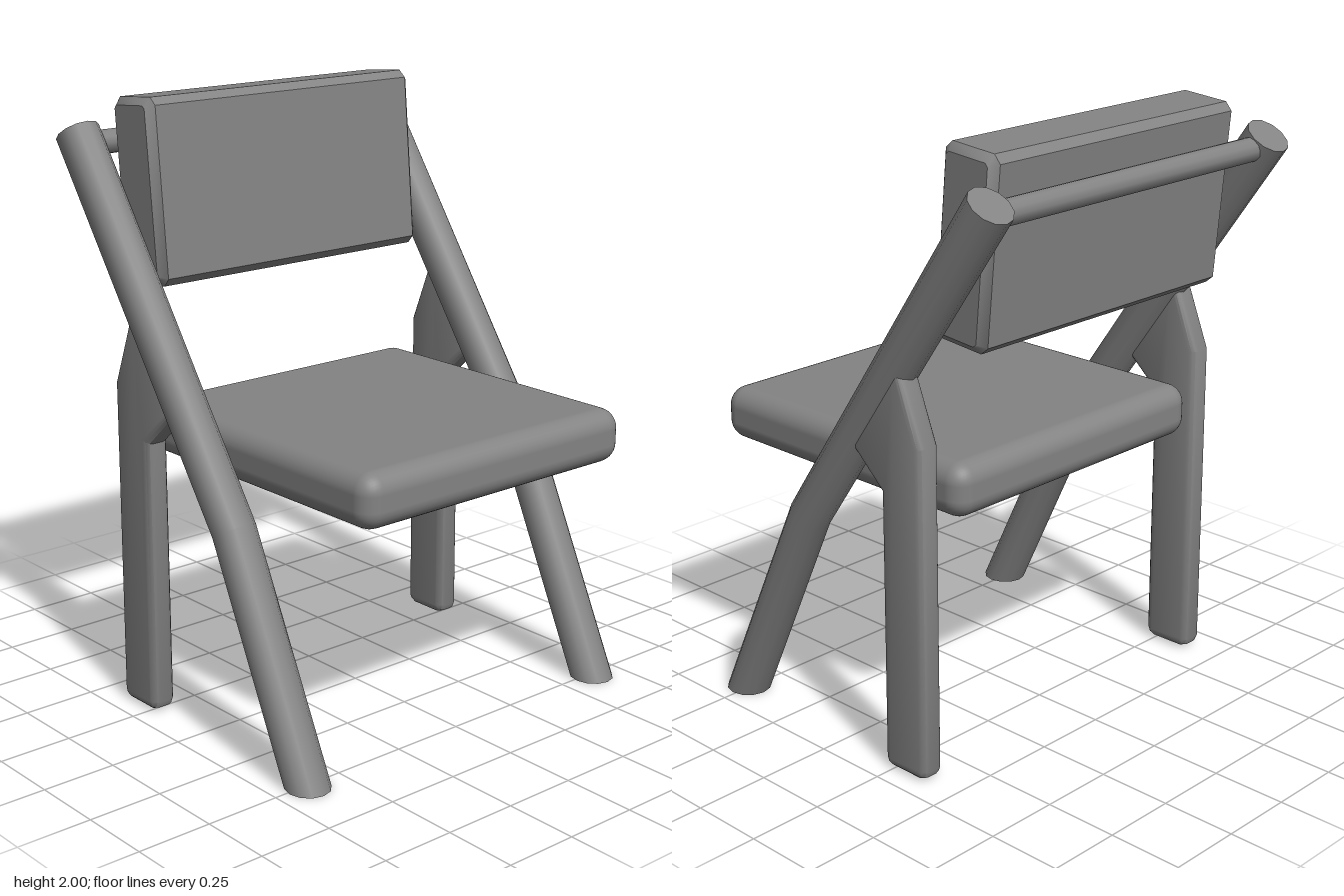
import * as THREE from 'three';
import { toCreasedNormals } from 'three/addons/utils/BufferGeometryUtils.js';
import { RoundedBoxGeometry } from 'three/addons/geometries/RoundedBoxGeometry.js';

const material = new THREE.MeshStandardMaterial({ color: 0x838383 });

function part(name, geometry, x = 0, y = 0, z = 0) {
  const mesh = new THREE.Mesh(geometry, material);
  mesh.name = name;
  mesh.position.set(x, y, z);
  return mesh;
}

// Outline in xy extruded to a total depth, centred on z, with bevelled rims
function slab(points, depth, bevel, bevelSegments) {
  const shape = new THREE.Shape(points.map(([x, y]) => new THREE.Vector2(x, y)));
  const geometry = new THREE.ExtrudeGeometry(shape, {
    depth: depth - 2 * bevel, bevelThickness: bevel, bevelSize: bevel, bevelOffset: -bevel, bevelSegments,
  });
  return toCreasedNormals(geometry.translate(0, 0, bevel - depth / 2), 0.6);
}

// Bent pole: each ring has a centre and a half-width vector in the xy plane
function poleGeometry() {
  const rings = [
    { c: [0.511, 0], h: [0.076, 0] },
    { c: [0.163, 0.735], h: [0.058, 0.034] },
    { c: [-0.627, 1.873], h: [0.061, 0.042] },
  ];
  const geometry = new THREE.CylinderGeometry(1, 1, 2, 12, 2);
  const p = geometry.attributes.position;
  for (let i = 0; i < p.count; i++) {
    const { c, h } = rings[Math.round(p.getY(i)) + 1];
    const u = p.getX(i);
    p.setXYZ(i, c[0] + u * h[0], c[1] + u * h[1], p.getZ(i) * 0.072);
  }
  return toCreasedNormals(geometry, 0.7);
}

// Flat rear leg with a softened foot, its top leaning forward into the pole
const rearLegOutline = [
  [-0.365, 0.005], [-0.245, 0.005], [-0.224, 0.014], [-0.215, 0.035], [-0.215, 0.93], [-0.06, 1.07],
  [-0.285, 1.36], [-0.39, 1.105], [-0.395, 0.035], [-0.386, 0.014],
];

// Backrest section with chamfered corners
const backrestOutline = [
  [-0.082, -0.3], [0.082, -0.3], [0.107, -0.275], [0.107, 0.275],
  [0.082, 0.3], [-0.082, 0.3], [-0.107, 0.275], [-0.107, -0.275],
];

export function createModel() {
  const chair = new THREE.Group();
  chair.name = 'chair';

  chair.add(part('seat', new RoundedBoxGeometry(1.11, 0.18, 1.1, 4, 0.065), 0.135, 0.926, 0));

  const backrest = part('backrest', slab(backrestOutline, 1.1, 0.025, 1), -0.43, 1.694, 0);
  backrest.rotation.z = 0.087;
  chair.add(backrest);

  // Side frames
  const pole = poleGeometry();
  const leg = slab(rearLegOutline, 0.085, 0.025, 3);
  for (const [side, sign] of [['near', 1], ['far', -1]]) {
    chair.add(part(side + 'Pole', pole, 0, 0, sign * 0.633));
    chair.add(part(side + 'RearLeg', leg, 0, 0, sign * 0.643));
  }

  // Rod joining the pole tops behind the backrest, its ends buried in the poles
  const rod = part('crossRod', new THREE.CylinderGeometry(0.04, 0.04, 1.18, 12), -0.605, 1.835, 0);
  rod.rotation.x = Math.PI / 2;
  chair.add(rod);

  return chair;
}
